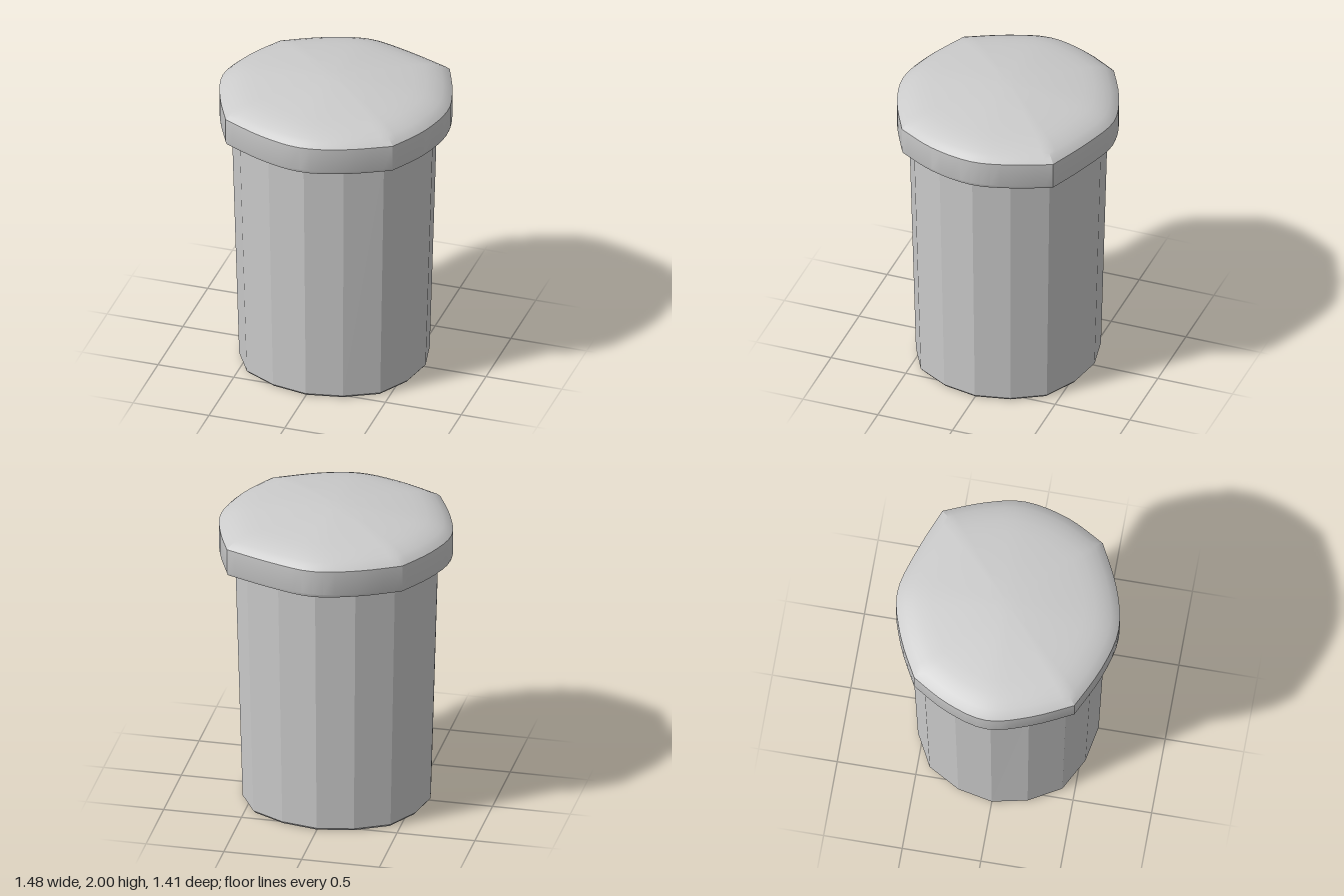
import * as THREE from 'three';
import { toCreasedNormals } from 'three/addons/utils/BufferGeometryUtils.js';

// Skins a stack of [scaleX, scaleZ, y] levels of one closed outline, listed from bottom to top.
function loft(outline, levels) {
  const n = outline.length, positions = [], index = [];
  for (const [sx, sz, y] of levels)
    for (const p of outline) positions.push(p.x * sx, y, p.y * sz);
  for (let j = 0; j < levels.length - 1; j++) {
    for (let i = 0; i < n; i++) {
      const a = j * n + i, b = j * n + (i + 1) % n, c = a + n, d = b + n;
      if (levels[j][0] > 0) index.push(a, c, b);
      if (levels[j + 1][0] > 0) index.push(b, c, d);
    }
  }
  const geometry = new THREE.BufferGeometry();
  geometry.setAttribute('position', new THREE.Float32BufferAttribute(positions, 3));
  geometry.setIndex(index);
  return geometry;
}

// Lid outline: four softly bowed sides meeting at sharp corners.
function lidOutline() {
  const sides = [
    [[0.59, -0.52], [0.69, -0.27], [0.74, -0.02], [0.68, 0.26], [0.55, 0.507]],
    [[0.55, 0.507], [0.27, 0.645], [0, 0.705], [-0.27, 0.645], [-0.548, 0.517]],
    [[-0.548, 0.517], [-0.67, 0.26], [-0.74, -0.01], [-0.67, -0.27], [-0.535, -0.505]],
    [[-0.535, -0.505], [-0.28, -0.635], [0, -0.707], [0.28, -0.64], [0.59, -0.52]],
  ];
  return sides.flatMap((side) => {
    const curve = new THREE.SplineCurve(side.map(([x, z]) => new THREE.Vector2(x, z)));
    return curve.getPoints(16).slice(0, -1);
  });
}

// Body outline: sixteen flat facets, slightly pushed out at the diagonals.
function bodyOutline() {
  return Array.from({ length: 16 }, (_, i) => {
    const angle = (i / 16) * Math.PI * 2;
    const r = i % 4 === 2 ? 1.035 : 1;
    return new THREE.Vector2(Math.cos(angle) * r, Math.sin(angle) * r);
  });
}

export function createModel() {
  const group = new THREE.Group();
  group.name = 'liddedBin';

  // Tapered faceted body with a closed floor
  const body = new THREE.Mesh(
    loft(bodyOutline(), [
      [0, 0, 0],
      [0.59, 0.565, 0],
      [0.602, 0.577, 0.015],
      [0.65, 0.62, 1.7],
    ]),
    new THREE.MeshStandardMaterial({ color: 0xcccccc, flatShading: true })
  );
  body.name = 'body';

  // Overhanging lid: flat underside, upright rim and shallow dome
  const profile = [
    [0.8, 1.69], [0.99, 1.69], [1, 1.71], [1, 1.87], [0.965, 1.893], [0.92, 1.911],
    [0.86, 1.929], [0.78, 1.945], [0.68, 1.957], [0.55, 1.97], [0.4, 1.982],
    [0.25, 1.992], [0.1, 1.998], [0, 2],
  ];
  const lid = new THREE.Mesh(
    toCreasedNormals(loft(lidOutline(), profile.map(([s, y]) => [s, s, y])), 0.36),
    new THREE.MeshStandardMaterial({ color: 0xcccccc })
  );
  lid.name = 'lid';

  group.add(body, lid);
  return group;
}
